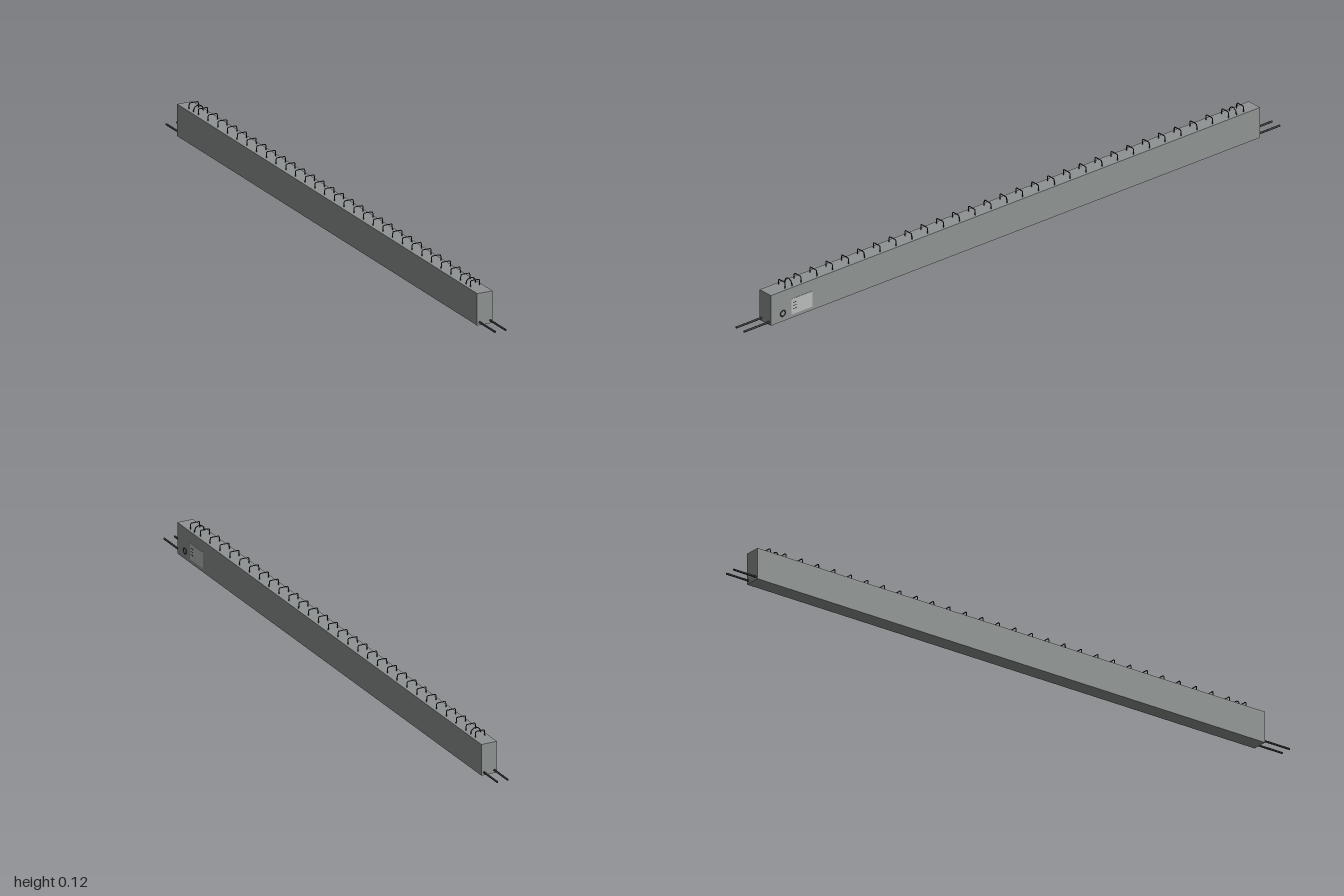
import * as THREE from 'three';

const CX = -0.001;          // beam centre line
const Z0 = -0.92, Z1 = 0.906; // beam ends
const TOP = 0.097;

export function createModel() {
  const concrete = new THREE.MeshStandardMaterial({ color: 0x8e9392 });
  concrete.name = 'concrete grey';
  const steel = new THREE.MeshStandardMaterial({ color: 0x2e2f30 });
  steel.name = 'dark steel';
  const pale = new THREE.MeshStandardMaterial({ color: 0xb9bcbb });
  pale.name = 'pale label';

  const model = new THREE.Group();
  const add = (name, geometry, material, x, y, z) => {
    const mesh = new THREE.Mesh(geometry, material);
    mesh.name = name;
    mesh.position.set(x, y, z);
    model.add(mesh);
    return mesh;
  };

  // Precast beam body
  add('beam', new THREE.BoxGeometry(0.05, TOP, Z1 - Z0), concrete, CX, TOP / 2, (Z0 + Z1) / 2);

  // Two longitudinal bars projecting from both ends
  const bar = new THREE.CylinderGeometry(0.003, 0.003, 2, 12).rotateX(Math.PI / 2);
  for (const side of [-1, 1]) add('reinforcingBar', bar, steel, CX + side * 0.017, 0.009, 0);

  // Square stirrup: two legs with rounded upper corners
  const v = (x, y) => new THREE.Vector3(x, y, 0);
  const stirrupPath = new THREE.CurvePath();
  stirrupPath.add(new THREE.LineCurve3(v(-0.0155, 0.09), v(-0.0148, 0.11)));
  stirrupPath.add(new THREE.QuadraticBezierCurve3(v(-0.0148, 0.11), v(-0.0146, 0.115), v(-0.0105, 0.115)));
  stirrupPath.add(new THREE.LineCurve3(v(-0.0105, 0.115), v(0.0105, 0.115)));
  stirrupPath.add(new THREE.QuadraticBezierCurve3(v(0.0105, 0.115), v(0.0146, 0.115), v(0.0148, 0.11)));
  stirrupPath.add(new THREE.LineCurve3(v(0.0148, 0.11), v(0.0155, 0.09)));
  const stirrup = new THREE.TubeGeometry(stirrupPath, 40, 0.0015, 8);

  // Evenly spaced stirrups, with one extra close to each end
  const first = 0.786, last = -0.81, count = 28;
  const positions = [0.845, -0.866];
  for (let i = 0; i < count; i++) positions.push(first + (last - first) * i / (count - 1));
  for (const z of positions) add('stirrup', stirrup, steel, CX + 0.0005, 0, z);

  // Arched lifting loops
  const arch = new THREE.CatmullRomCurve3([
    v(-0.0155, 0.09), v(-0.0152, 0.101), v(-0.0115, 0.1095), v(0, 0.1148),
    v(0.0115, 0.1095), v(0.0152, 0.101), v(0.0155, 0.09)
  ]);
  const loop = new THREE.TubeGeometry(arch, 32, 0.0015, 8);
  for (const z of [0.82, -0.839]) add('liftingLoop', loop, steel, CX + 0.0005, 0, z);

  // Label plate with plain printed strips, and a ring marker beside it
  const face = CX + 0.025;
  add('labelPlate', new THREE.BoxGeometry(0.001, 0.05, 0.078), pale, face + 0.0003, 0.036, 0.791);
  for (const y of [0.028, 0.038, 0.048])
    add('labelStrip', new THREE.BoxGeometry(0.0004, 0.002, 0.012), steel, face + 0.0009, y, 0.818);
  const ring = new THREE.TorusGeometry(0.009, 0.0016, 8, 20).rotateY(Math.PI / 2);
  add('ringMarker', ring, steel, face, 0.025, 0.861);

  return model;
}
